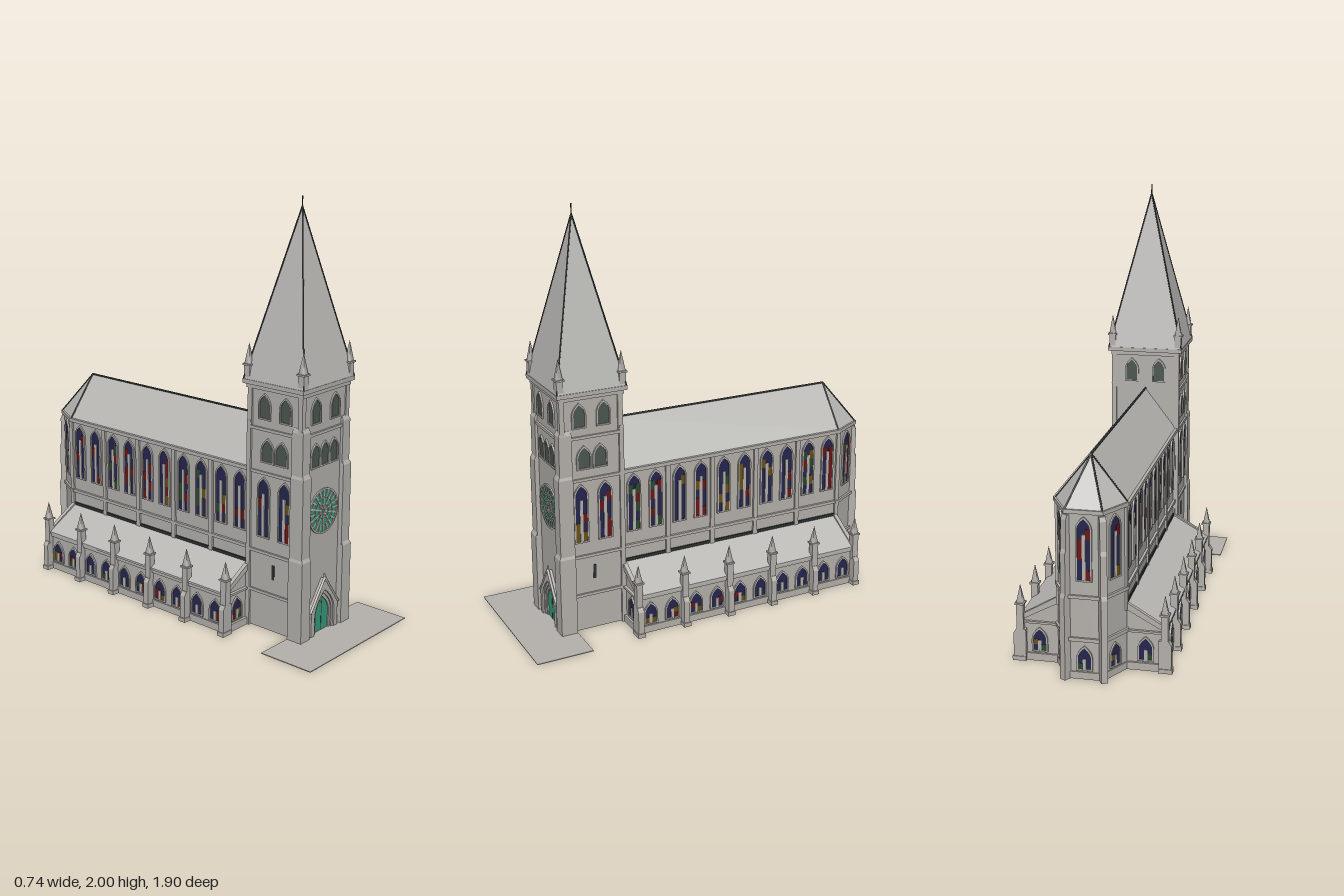
import * as THREE from 'three';
import { ConvexGeometry } from 'three/addons/geometries/ConvexGeometry.js';

const mat = (name, color, side = THREE.FrontSide) => {
  const m = new THREE.MeshStandardMaterial({ color, side });
  m.name = name;
  return m;
};
const V = (x, y, z) => new THREE.Vector3(x, y, z);

export function createModel() {
  const root = new THREE.Group();
  root.name = 'church';
  const stone = mat('stone', 0xb5b2ad), roofing = mat('roofing', 0xb9b8b5), dark = mat('ridgeMetal', 0x2c3231);
  const opening = mat('louvre', 0x4c5751), green = mat('copperGreen', 0x38987a);
  const blue = mat('blueGlass', 0x25254f), red = mat('redGlass', 0x6c1516);
  const gold = mat('goldGlass', 0x6b5216), leaf = mat('greenGlass', 0x2a4a2c);
  let seed = 7;
  const rand = () => (seed = (seed * 16807) % 2147483647) / 2147483647;

  const add = (name, geo, m, parent = root) => {
    const mesh = new THREE.Mesh(geo, m);
    mesh.name = name;
    parent.add(mesh);
    return mesh;
  };
  const box = (name, m, x0, x1, y0, y1, z0, z1, parent) => {
    const b = add(name, new THREE.BoxGeometry(Math.abs(x1 - x0), y1 - y0, z1 - z0), m, parent);
    b.position.set((x0 + x1) / 2, (y0 + y1) / 2, (z0 + z1) / 2);
    return b;
  };
  const hull = (name, m, pts, parent) => add(name, new ConvexGeometry(pts.map(p => V(...p))), m, parent);
  // profile in x,y swept straight along z
  const sweep = (name, m, prof, z0, z1) => hull(name, m, prof.flatMap(([x, y]) => [[x, y, z0], [x, y, z1]]));
  // plan in x,z raised along y
  const raise = (name, m, plan, y0, y1) => hull(name, m, plan.flatMap(([x, z]) => [[x, y0, z], [x, y1, z]]));
  const rib = (name, m, a, b, r) => {
    const p = V(...a), d = V(...b).sub(p);
    const c = add(name, new THREE.CylinderGeometry(r, r, d.length(), 6), m);
    c.position.copy(p).addScaledVector(d, 0.5);
    c.quaternion.setFromUnitVectors(V(0, 1, 0), d.normalize());
  };
  const arch = (w, h, y0 = 0, C = THREE.Shape) => {
    const s = new C(), k = h - w * 0.8, a = w / 2;
    s.moveTo(-a, y0);
    s.lineTo(a, y0);
    s.lineTo(a, k);
    s.quadraticCurveTo(a * 0.95, k + w * 0.45, 0, h);
    s.quadraticCurveTo(-a * 0.95, k + w * 0.45, -a, k);
    s.closePath();
    return s;
  };
  const extrude = (s, depth) => new THREE.ExtrudeGeometry(s, { depth, bevelEnabled: false, curveSegments: 6 });
  const facing = (name, x, y, z, ry) => {
    const g = new THREE.Group();
    g.name = name;
    g.position.set(x, y, z);
    g.rotation.y = ry;
    root.add(g);
    return g;
  };
  // pointed window with raised surround; rows > 0 gives two lights of coloured panes
  const win = (name, w, h, x, y, z, ry, rows = 0) => {
    const g = facing(name, x, y, z, ry);
    add('pane', extrude(arch(w, h), 0.003), rows ? blue : opening, g);
    const rim = arch(w + 0.014, h + 0.01, -0.007);
    rim.holes.push(arch(w, h, 0, THREE.Path));
    add('surround', extrude(rim, 0.008), stone, g);
    if (!rows) return;
    const top = h - w * 0.8, m = w * 0.13;
    box('mullion', stone, -m, m, 0, top * 0.9, 0, 0.007, g);
    for (const s of [-1, 1]) for (let i = 0; i < rows; i++) {
      const r = rand();
      if (r > 0.38) continue;
      box('colouredPane', r < 0.2 ? red : r < 0.28 ? gold : leaf,
        s * m, s * w / 2, top * i / rows, top * (i + 1) / rows, 0.001, 0.0045, g);
    }
  };
  const flank = (name, w, h, y, rows, x, zs) => {
    for (const z of zs) for (const s of [-1, 1]) win(name, w, h, s * x, y, z, s * Math.PI / 2, rows);
  };
  // square spirelet on a shaft
  const pinnacle = (name, x, y, z, w, shaft, tip) => {
    const g = facing(name, x, y, z, 0), a = w / 2, b = w * 0.68;
    box('shaft', stone, -a, a, 0, shaft, -a, a, g);
    box('cap', stone, -b, b, shaft - 0.008, shaft, -b, b, g);
    const c = add('point', new THREE.ConeGeometry(a * 1.35, tip, 4), stone, g);
    c.rotation.y = Math.PI / 4;
    c.position.y = shaft + tip / 2;
  };

  // forecourt
  box('forecourt', stone, -0.37, 0.37, 0, 0.004, 0.67, 0.945);

  // nave, floor and main roof
  box('naveWalls', stone, -0.15, 0.15, 0.03, 0.77, -0.78, 0.43);
  box('floor', green, -0.315, 0.315, 0.024, 0.03, -0.77, 0.41);
  box('crossFooting', green, -0.3, 0.3, 0, 0.025, 0.39, 0.405);
  sweep('naveRoof', roofing, [[-0.158, 0.772], [0.158, 0.772], [0, 0.978]], -0.775, 0.42);
  rib('ridge', dark, [0, 0.978, -0.775], [0, 0.978, 0.42], 0.005);

  const bays = [0.42, 0.18, -0.06, -0.3, -0.54, -0.78];
  const lights = bays.slice(0, 5).flatMap(z => [z - 0.063, z - 0.177]);
  for (const s of [-1, 1]) {
    box('naveFooting', green, s * 0.145, s * 0.165, 0, 0.03, -0.78, 0.41);
    box('naveCornice', stone, s * 0.14, s * 0.17, 0.757, 0.775, -0.78, 0.42);
    box('clerestorySill', stone, s * 0.14, s * 0.162, 0.375, 0.39, -0.78, 0.42);
    // side aisle
    sweep('aisleWalls', stone, [[s * 0.14, 0.03], [s * 0.32, 0.03], [s * 0.32, 0.198], [s * 0.14, 0.3]], -0.775, 0.412);
    box('aislePlinth', stone, s * 0.305, s * 0.325, 0, 0.035, -0.78, 0.415);
    for (const [z, t] of [[0.405, 0.02], [-0.785, 0.02]]) {
      box('aisleEndPlinth', stone, s * 0.15, s * 0.32, 0, 0.035, z, z + t);
      sweep('aisleCoping', stone, [[s * 0.15, 0.285], [s * 0.325, 0.19], [s * 0.325, 0.215], [s * 0.15, 0.318]], z, z + t);
      box('aisleEndString', stone, s * 0.15, s * 0.32, 0.178, 0.188, z - 0.002, z + t + 0.002);
    }
    box('aisleString', stone, s * 0.31, s * 0.33, 0.178, 0.195, -0.78, 0.415);
    sweep('aisleRoof', roofing, [[s * 0.335, 0.194], [s * 0.335, 0.204], [s * 0.15, 0.308], [s * 0.15, 0.295]], -0.78, 0.415);
    box('aisleFlashing', dark, s * 0.145, s * 0.157, 0.303, 0.318, -0.78, 0.42);
    win('aisleFrontWindow', 0.06, 0.1, s * 0.24, 0.05, 0.412, 0, 2);
    win('aisleRearWindow', 0.06, 0.1, s * 0.24, 0.05, -0.775, Math.PI, 2);
    for (const z of bays) {
      box('pilaster', stone, s * 0.14, s * 0.16, 0.28, 0.76, z - 0.011, z + 0.011);
      box('buttressBase', stone, s * 0.3, s * 0.362, 0, 0.02, z - 0.019, z + 0.019);
      hull('buttress', stone, [-0.015, 0.015].flatMap(d => [[s * 0.3, 0, z + d], [s * 0.357, 0, z + d],
        [s * 0.357, 0.13, z + d], [s * 0.345, 0.15, z + d], [s * 0.3, 0.15, z + d]]));
      pinnacle('buttressPinnacle', s * 0.326, 0.14, z, 0.032, 0.135, 0.085);
    }
  }
  flank('clerestoryWindow', 0.058, 0.275, 0.46, 5, 0.15, lights);
  flank('aisleWindow', 0.06, 0.098, 0.05, 2, 0.32, lights);

  // apse
  const plan = o => [[-0.155 - o, -0.77], [0.155 + o, -0.77], [0.155 + o, -0.78 - o * 0.4],
    [0.08 + o * 0.6, -0.92 - o], [-0.08 - o * 0.6, -0.92 - o], [-0.155 - o, -0.78 - o * 0.4]];
  raise('apseFloor', green, plan(-0.012), 0, 0.006);
  raise('apseWalls', stone, plan(0), 0.004, 0.77);
  raise('apsePlinth', stone, plan(0.005), 0.002, 0.035);
  for (const [y, h] of [[0.178, 0.017], [0.375, 0.015], [0.757, 0.018]]) raise('apseString', stone, plan(0.01), y, y + h);
  hull('apseRoof', roofing, [...plan(0.003).map(([x, z]) => [x, 0.773, z]), [0, 0.978, -0.775]]);
  for (const s of [-1, 1]) {
    rib('apseHip', dark, [0, 0.978, -0.775], [s * 0.082, 0.775, -0.923], 0.004);
    rib('apseVerge', dark, [0, 0.978, -0.775], [s * 0.158, 0.775, -0.775], 0.004);
    const a = Math.atan2(s * 0.88, -0.47);
    win('apseSideWindow', 0.058, 0.275, s * 0.1175, 0.46, -0.85, a, 5);
    win('apseSideLowWindow', 0.058, 0.098, s * 0.1175, 0.05, -0.85, a, 2);
    const g = facing('apseButtress', s * 0.08, 0, -0.92, Math.atan2(s * 0.51, -0.86));
    for (const [y0, y1, d] of [[0, 0.4, 0.027], [0.38, 0.6, 0.02], [0.58, 0.75, 0.013]])
      hull('tier', stone, [-0.015, 0.015].flatMap(x => [[x, y0, -0.02], [x, y0, d], [x, y1 - 0.02, d],
        [x, y1, d - 0.008], [x, y1, -0.02]]), g);
  }
  win('apseRearWindow', 0.058, 0.275, 0, 0.46, -0.92, Math.PI, 5);
  win('apseRearLowWindow', 0.058, 0.098, 0, 0.05, -0.92, Math.PI, 2);

  // tower
  box('towerFloor', green, -0.14, 0.14, 0, 0.006, 0.43, 0.71);
  box('towerBody', stone, -0.165, 0.165, 0.004, 1.17, 0.42, 0.72);
  for (const s of [-1, 1]) {
    for (const [y0, y1, x, z] of [[0, 0.41, 0.185, 0.75], [0.39, 0.8, 0.18, 0.742], [0.77, 1.01, 0.175, 0.733]])
      hull('towerButtress', stone, [...[y0, y1 - 0.02].flatMap(y => [[s * 0.12, y, 0.67], [s * x, y, 0.67],
        [s * 0.12, y, z], [s * x, y, z]]), [s * 0.125, y1, 0.675], [s * (x - 0.008), y1, 0.675],
        [s * 0.125, y1, z - 0.01], [s * (x - 0.008), y1, z - 0.01]]);
    box('towerRearPier', stone, s * 0.15, s * 0.175, 0, 1.0, 0.413, 0.435);
    for (const z of [0.416, 0.702]) box('belfryCorner', stone, s * 0.148, s * 0.174, 0.98, 1.17, z, z + 0.024);
    for (const y of [0.178, 0.375, 0.757, 0.962]) box('towerSideString', stone, s * 0.15, s * 0.174, y, y + 0.014, 0.42, 0.68);
    box('stairSlit', dark, s * 0.16, s * 0.168, 0.26, 0.33, 0.562, 0.576);
  }
  box('towerFrontString', stone, -0.125, 0.125, 0.962, 0.976, 0.71, 0.73);
  box('belfryCornice', stone, -0.175, 0.175, 1.15, 1.17, 0.41, 0.73);
  box('spireEaves', stone, -0.19, 0.19, 1.17, 1.19, 0.398, 0.742);
  flank('towerSideWindow', 0.058, 0.275, 0.46, 5, 0.165, [0.63, 0.51]);
  flank('towerSideLouvre', 0.06, 0.1, 0.82, 0, 0.165, [0.61, 0.53]);
  flank('belfrySideLouvre', 0.056, 0.105, 1.02, 0, 0.165, [0.63, 0.51]);
  for (const s of [-1, 1]) {
    win('belfryFrontLouvre', 0.056, 0.105, s * 0.07, 1.02, 0.72, 0);
    win('belfryRearLouvre', 0.056, 0.105, s * 0.07, 1.02, 0.42, Math.PI);
  }
  for (const x of [-0.067, 0, 0.067]) win('towerFrontLouvre', 0.052, 0.1, x, 0.815, 0.72, 0);

  // spire
  const base = [[-0.187, 0.4], [0.187, 0.4], [0.187, 0.74], [-0.187, 0.74]], tip = [0, 1.955, 0.57];
  hull('spire', roofing, [...base.map(([x, z]) => [x, 1.188, z]), tip]);
  for (const [x, z] of base) {
    rib('spireHip', dark, [x, 1.188, z], tip, 0.0035);
    pinnacle('spirePinnacle', x * 0.9, 1.185, z > 0.5 ? 0.722 : 0.418, 0.032, 0.075, 0.095);
  }
  rib('spireRod', dark, [0, 1.94, 0.57], [0, 2, 0.57], 0.003);

  // rose window
  const rose = facing('roseWindow', 0, 0.59, 0.72, 0);
  const disc = add('roseGlass', new THREE.CylinderGeometry(0.1, 0.1, 0.006, 48), green, rose);
  disc.rotation.x = Math.PI / 2;
  for (const [r0, r1] of [[0.099, 0.108], [0.062, 0.068], [0.03, 0.036], [0.008, 0.013]]) {
    const s = new THREE.Shape().absarc(0, 0, r1, 0, Math.PI * 2);
    s.holes.push(new THREE.Path().absarc(0, 0, r0, 0, Math.PI * 2, true));
    add('roseRing', new THREE.ExtrudeGeometry(s, { depth: 0.007, bevelEnabled: false, curveSegments: 32 }), stone, rose);
  }
  for (let i = 0; i < 20; i++) {
    const g = new THREE.Group();
    g.name = 'roseSpoke';
    g.rotation.z = i * Math.PI / 10;
    rose.add(g);
    box('outerSpoke', stone, 0.066, 0.1, -0.0045, 0.0045, 0, 0.006, g);
    if (i % 2) box('innerSpoke', stone, 0.01, 0.066, -0.004, 0.004, 0, 0.006, g);
  }

  // portal
  const portal = facing('portal', 0, 0, 0.72, 0);
  const gable = new THREE.Shape([[-0.1, 0], [0.1, 0], [0.1, 0.125], [0, 0.265], [-0.1, 0.125]].map(p => new THREE.Vector2(...p)));
  gable.holes.push(arch(0.15, 0.21, 0.0005, THREE.Path));
  add('portalGable', extrude(gable, 0.024), stone, portal);
  for (const [w, h, iw, ih, d] of [[0.15, 0.21, 0.125, 0.192, 0.016], [0.125, 0.192, 0.1, 0.172, 0.01]]) {
    const s = arch(w, h);
    s.holes.push(arch(iw, ih, 0.0005, THREE.Path));
    add('portalOrder', extrude(s, d), stone, portal);
  }
  add('door', extrude(arch(0.102, 0.173), 0.004), green, portal);
  box('doorJoint', dark, -0.001, 0.001, 0, 0.15, 0.003, 0.005, portal);
  for (const s of [-1, 1]) rib('portalCoping', stone, [s * 0.105, 0.122, 0.741], [0, 0.27, 0.741], 0.007);
  rib('portalFinial', stone, [0, 0.255, 0.739], [0, 0.288, 0.739], 0.005);
  return root;
}
